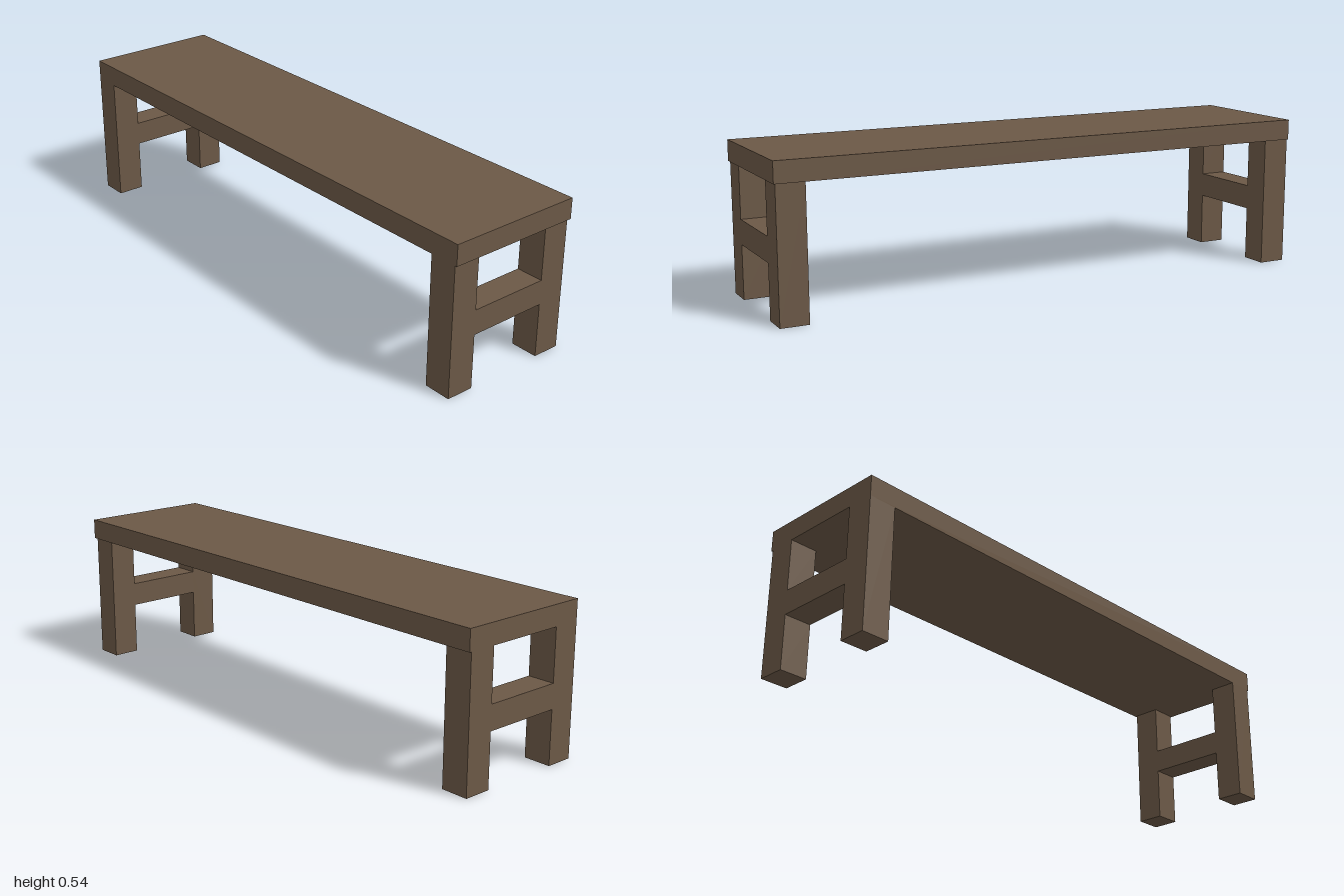
import * as THREE from 'three';

const SEAT_BOTTOM = 0.467, SEAT_TOP = 0.541;
const LEG = 0.1;

export function createModel() {
  const wood = new THREE.MeshStandardMaterial({ color: 0x6b5846 });
  wood.name = 'brown wood';
  const bench = new THREE.Group();
  bench.name = 'bench';

  // Seat plank
  const seat = new THREE.Mesh(new THREE.BoxGeometry(2, SEAT_TOP - SEAT_BOTTOM, 0.5), wood);
  seat.name = 'seat';
  seat.position.y = (SEAT_TOP + SEAT_BOTTOM) / 2;
  bench.add(seat);

  // H-shaped end frame: two square legs joined by a flush rail
  const back = -0.242, front = 0.25, railBottom = 0.193, railTop = 0.281;
  const profile = new THREE.Shape([
    [back, 0], [back + LEG, 0], [back + LEG, railBottom], [front - LEG, railBottom],
    [front - LEG, 0], [front, 0], [front, SEAT_BOTTOM], [front - LEG, SEAT_BOTTOM],
    [front - LEG, railTop], [back + LEG, railTop], [back + LEG, SEAT_BOTTOM], [back, SEAT_BOTTOM],
  ].map(([z, y]) => new THREE.Vector2(z, y)));
  const frameGeometry = new THREE.ExtrudeGeometry(profile, { depth: LEG, bevelEnabled: false });
  frameGeometry.rotateY(-Math.PI / 2); // profile runs along z, thickness reaches towards -x

  for (const [name, outerX] of [['leftLegFrame', 0.993], ['rightLegFrame', -0.9]]) {
    const frame = new THREE.Mesh(frameGeometry, wood);
    frame.name = name;
    frame.position.x = outerX;
    bench.add(frame);
  }
  return bench;
}
